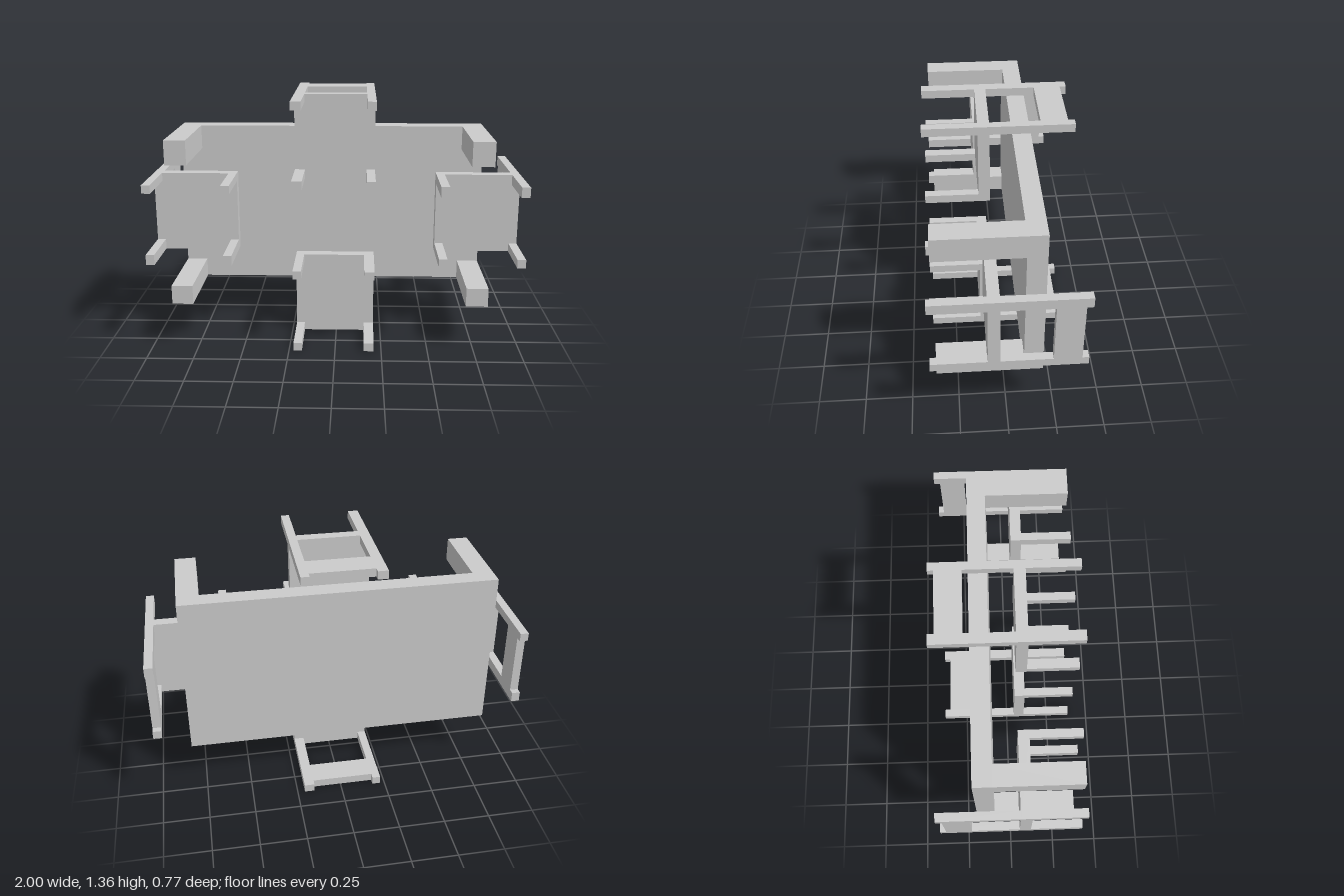
import * as THREE from 'three';

const material = new THREE.MeshStandardMaterial({ color: 0xcccccc, flatShading: true });

// Box given by its lower and upper bounds on each axis
function box(name, parent, [x0, x1], [y0, y1], [z0, z1]) {
  const mesh = new THREE.Mesh(new THREE.BoxGeometry(x1 - x0, y1 - y0, z1 - z0), material);
  mesh.position.set((x0 + x1) / 2, (y0 + y1) / 2, (z0 + z1) / 2);
  mesh.name = name;
  parent.add(mesh);
}

// Chair lying with its legs towards +z and its backrest on the +y side
function createChair() {
  const chair = new THREE.Group();
  chair.name = 'chair';
  const half = 0.2175, depth = 0.455;
  const sides = [[-half, -half + 0.055], [half - 0.045, half]];
  const back = [depth - 0.045, depth];
  box('seat', chair, [-half, half], [0, depth], [0.045, 0.105]);
  for (const side of sides) {
    box('frontLeg', chair, side, [0, 0.045], [0.105, 0.385]);
    box('backLeg', chair, side, back, [0.105, 0.385]);
    box('backPost', chair, side, back, [-0.385, 0.045]);
  }
  box('backrest', chair, [sides[0][1], sides[1][0]], back, [-0.352, -0.213]);
  return chair;
}

// Table lying on its long edge with its legs towards +z
function createTable() {
  const table = new THREE.Group();
  table.name = 'table';
  box('tableTop', table, [-0.878, 0.817], [0.256, 1.15], [-0.19, -0.09]);
  for (const x of [[-0.878, -0.765], [0.70, 0.817]]) {
    for (const y of [[0.256, 0.358], [1.02, 1.15]]) {
      box('tableLeg', table, x, y, [-0.09, 0.36]);
    }
  }
  return table;
}

export function createModel() {
  const model = new THREE.Group();
  model.name = 'diningSet';
  model.add(createTable());

  // One chair on each edge of the table: x, y of the seat front, turn about z
  const places = [
    [-0.0075, 0.90, 0],
    [-0.545, 0.7025, Math.PI / 2],
    [-0.0075, 0.455, Math.PI],
    [0.545, 0.7025, -Math.PI / 2],
  ];
  for (const [x, y, turn] of places) {
    const chair = createChair();
    chair.position.set(x, y, 0);
    chair.rotation.z = turn;
    model.add(chair);
  }
  return model;
}
